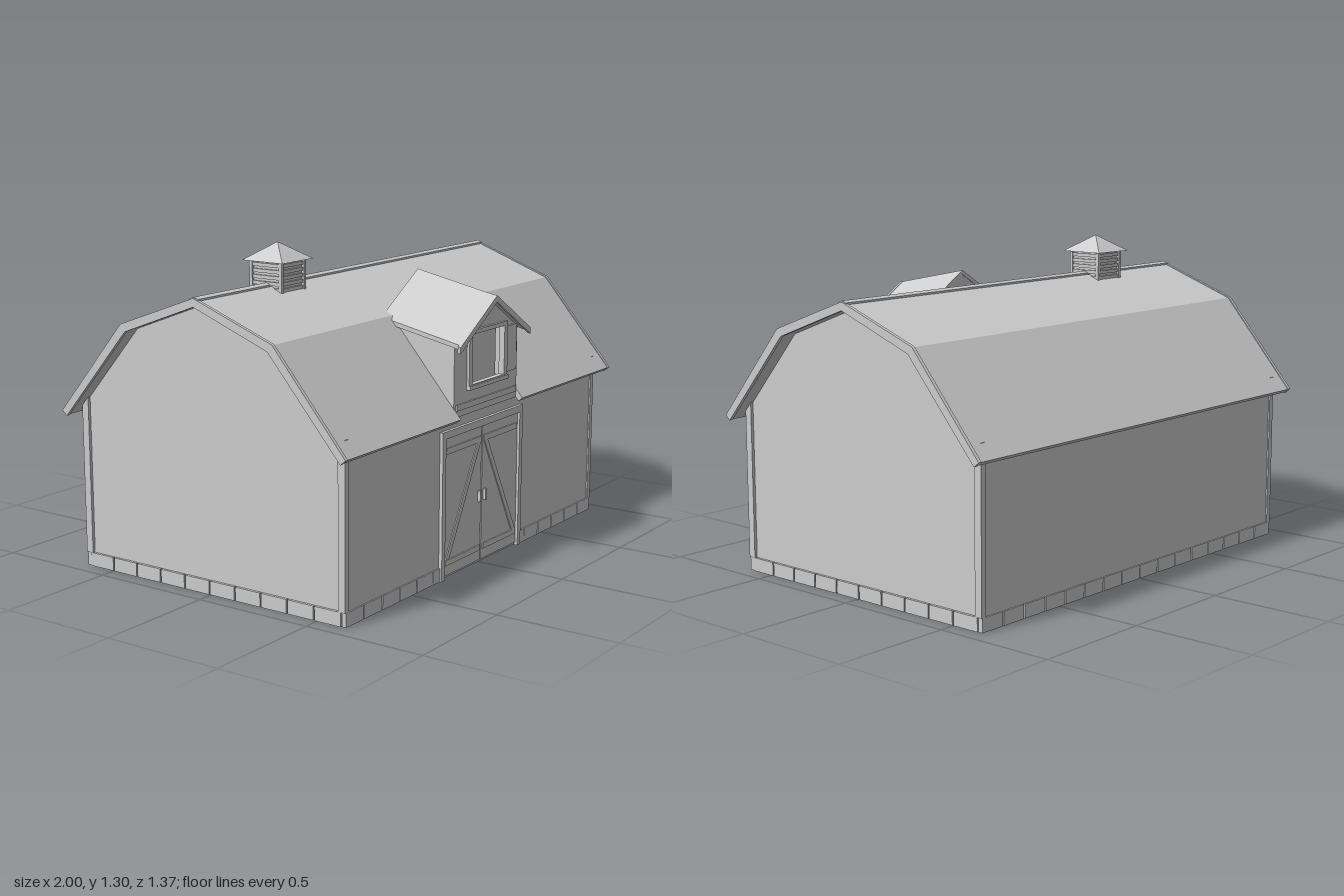
import * as THREE from 'three';

const paint = new THREE.MeshStandardMaterial({ color: 0xcccccc, side: THREE.DoubleSide });
paint.name = 'light grey';

export function createModel() {
  const root = new THREE.Group();
  root.name = 'barn';
  const barn = new THREE.Group();
  barn.name = 'building';
  barn.position.z = -0.006;
  root.add(barn);

  const add = (name, geo) => {
    const m = new THREE.Mesh(geo, paint);
    m.name = name;
    barn.add(m);
    return m;
  };
  // Box given by its limits on each axis
  const box = (name, x0, x1, y0, y1, z0, z1) => {
    const m = add(name, new THREE.BoxGeometry(Math.abs(x1 - x0), y1 - y0, Math.abs(z1 - z0)));
    m.position.set((x0 + x1) / 2, (y0 + y1) / 2, (z0 + z1) / 2);
    return m;
  };
  const shapeOf = pts => new THREE.Shape(pts.map(p => new THREE.Vector2(...p)));
  const extrude = (shape, depth) => new THREE.ExtrudeGeometry(shape, { depth, bevelEnabled: false });
  // Prism along x from a [z, y] outline
  const prismX = (name, pts, x0, x1) =>
    add(name, extrude(shapeOf(pts), x1 - x0).rotateY(-Math.PI / 2).translate(x1, 0, 0));
  const mirrored = half => [...half.map(([a, b]) => [-a, b]).reverse(), ...half.filter(p => p[0] !== 0)];

  // Gambrel roof: upper slopes, back slope, and front slope split by the dormer
  const ridge = [0, 1.145], knee = [0.358, 1.013], eave = [0.678, 0.64];
  const ridgeIn = [0, 1.118], kneeIn = [0.342, 0.99], eaveIn = [0.66, 0.625];
  const flip = pts => pts.map(([a, b]) => [-a, b]);
  const lower = [knee, eave, eaveIn, kneeIn];
  prismX('upperRoof', [...mirrored([ridge, knee]), ...mirrored([ridgeIn, kneeIn]).reverse()], -0.99, 0.99);
  prismX('backLowerRoof', flip(lower), -0.99, 0.99);
  prismX('frontLowerRoofRight', lower, -0.99, -0.235);
  prismX('frontLowerRoofLeft', lower, 0.235, 0.99);
  prismX('ridgeCap', mirrored([[0, 1.152], [0.02, 1.145], [0.02, 1.13]]), -0.995, 0.995);

  // Barge boards on both roof ends
  const outer = mirrored([[0, 1.148], [0.361, 1.016], [0.681, 0.641]]);
  const inner = mirrored([[0, 1.115], [0.34, 0.988], [0.658, 0.622]]).reverse();
  for (const x of [-1, 0.985]) prismX('bargeBoard', [...outer, ...inner], x, x + 0.015);

  // Walls, open below
  const gable = mirrored([[0, 1.125], [0.348, 0.998], [0.628, 0.675], [0.628, 0.004]]);
  for (const s of [-1, 1]) {
    prismX('gableWall', gable, s > 0 ? 0.912 : -0.925, s > 0 ? 0.925 : -0.912);
    box(s > 0 ? 'frontWall' : 'backWall', -0.915, 0.915, 0.004, 0.675, s * 0.615, s * 0.628);
    // Corner boards, one on each side of a corner
    for (const t of [-1, 1]) {
      box('cornerBoardLong', s * 0.913, s * 0.937, 0.055, 0.69, t * 0.618, t * 0.634);
      box('cornerBoardGable', s * 0.915, s * 0.937, 0.055, 0.695, t * 0.602, t * 0.632);
    }
  }

  // Foundation blocks with narrow gaps
  const gap = 0.003;
  for (const s of [-1, 1]) {
    for (let i = 0; i < 16; i++) {
      const x0 = -0.935 + i * 0.1169, x1 = x0 + 0.1169;
      if (s > 0 && x0 < 0.305 && x1 > -0.305) continue;
      box('foundationBlock', x0 + gap, x1 - gap, 0, 0.055, s * 0.615, s * 0.634);
    }
    for (const d of [-1, 1]) {
      box('foundationByDoor', d * 0.305, d * 0.352, 0, 0.055, 0.615, 0.634);
    }
    for (let i = 0; i < 10; i++) {
      const z0 = -0.615 + i * 0.123;
      box('foundationBlock', s * 0.912, s * 0.936, 0, 0.055, z0 + gap, z0 + 0.123 - gap);
    }
  }

  // Double door with frame, rails, braces and handles
  box('doorHeader', -0.305, 0.305, 0.567, 0.596, 0.62, 0.642);
  for (const s of [-1, 1]) {
    box('doorJamb', s * 0.281, s * 0.305, 0, 0.567, 0.62, 0.642);
    box('doorLeaf', s * 0.003, s * 0.279, 0.012, 0.565, 0.618, 0.632);
    box('doorTopRail', s * 0.012, s * 0.27, 0.502, 0.526, 0.63, 0.637);
    box('doorBottomRail', s * 0.012, s * 0.27, 0.054, 0.076, 0.63, 0.637);
    const brace = [[0.014, 0.502], [0.04, 0.502], [0.268, 0.076], [0.242, 0.076]];
    add('doorBrace', extrude(shapeOf(brace.map(([x, y]) => [s * x, y])), 0.006).translate(0, 0, 0.63));
    box('doorHandle', s * 0.014, s * 0.026, 0.258, 0.303, 0.63, 0.644);
  }

  // Dormer roof: chevron whose ridge climbs toward the back
  const chevron = (w, top, t, z0, z1) => {
    const y = top - 0.62 * w;
    const g = extrude(shapeOf([[-w, y], [0, top], [w, y], [w, y - t], [0, top - t], [-w, y - t]]), z1 - z0);
    g.translate(0, 0, z0 - 0.69);
    g.applyMatrix4(new THREE.Matrix4().set(1, 0, 0, 0, 0, 1, -0.205, 0, 0, 0, 1, 0, 0, 0, 0, 1));
    return g.translate(0, 0, 0.69);
  };
  add('dormerRoof', chevron(0.256, 1.09, 0.018, 0.322, 0.685));
  add('dormerBarge', chevron(0.266, 1.092, 0.026, 0.678, 0.691));

  // Dormer front with loft opening, side cheeks and back gable
  const face = shapeOf([[-0.238, 0.64], [0.238, 0.64], [0.238, 0.935], [0, 1.082], [-0.238, 0.935]]);
  const rect = (x, y0, y1) => [[-x, y0], [-x, y1], [x, y1], [x, y0]].map(p => new THREE.Vector2(...p));
  face.holes.push(new THREE.Path(rect(0.12, 0.755, 0.952)));
  add('dormerFront', extrude(face, 0.014).translate(0, 0, 0.632));
  for (const x of [-0.238, 0.226]) {
    prismX('dormerCheek', [[0.64, 0.65], [0.64, 0.935], [0.34, 0.998], [0.34, 0.985], [0.62, 0.65]], x, x + 0.012);
  }
  add('dormerBack', extrude(shapeOf([[-0.23, 1.0], [0.23, 1.0], [0, 1.15]]), 0.008).translate(0, 0, 0.324));
  box('dormerSill', -0.225, 0.228, 0.666, 0.69, 0.64, 0.652);

  // Loft opening frame, recessed panel and small shutter
  const frame = shapeOf([[-0.145, 0.738], [0.145, 0.738], [0.145, 0.968], [-0.145, 0.968]]);
  frame.holes.push(new THREE.Path(rect(0.12, 0.755, 0.952)));
  add('loftFrame', extrude(frame, 0.012).translate(0, 0, 0.645));
  box('loftPanel', -0.13, 0.13, 0.745, 0.96, 0.6, 0.61);
  box('loftLedge', -0.145, 0.145, 0.736, 0.752, 0.645, 0.664);
  box('loftShutter', 0.147, 0.224, 0.76, 0.946, 0.644, 0.653);

  // Louvred cupola on the ridge
  const cx = -0.495;
  box('cupolaCore', cx - 0.066, cx + 0.066, 1.09, 1.236, -0.066, 0.066);
  for (const s of [-1, 1]) {
    for (const t of [-1, 1]) {
      box('cupolaPost', cx + s * 0.064, cx + s * 0.078, 1.1, 1.236, t * 0.064, t * 0.078);
    }
  }
  for (let i = 0; i < 5; i++) {
    const y = 1.118 + i * 0.0235;
    box('cupolaSlat', cx - 0.074, cx + 0.074, y, y + 0.014, -0.074, 0.074);
  }
  const cap = add('cupolaRoof', new THREE.ConeGeometry(0.098 * Math.SQRT2, 0.068, 4, 1).toNonIndexed());
  cap.geometry.rotateY(Math.PI / 4);
  cap.geometry.computeVertexNormals();
  cap.position.set(cx, 1.268, 0);

  return root;
}
